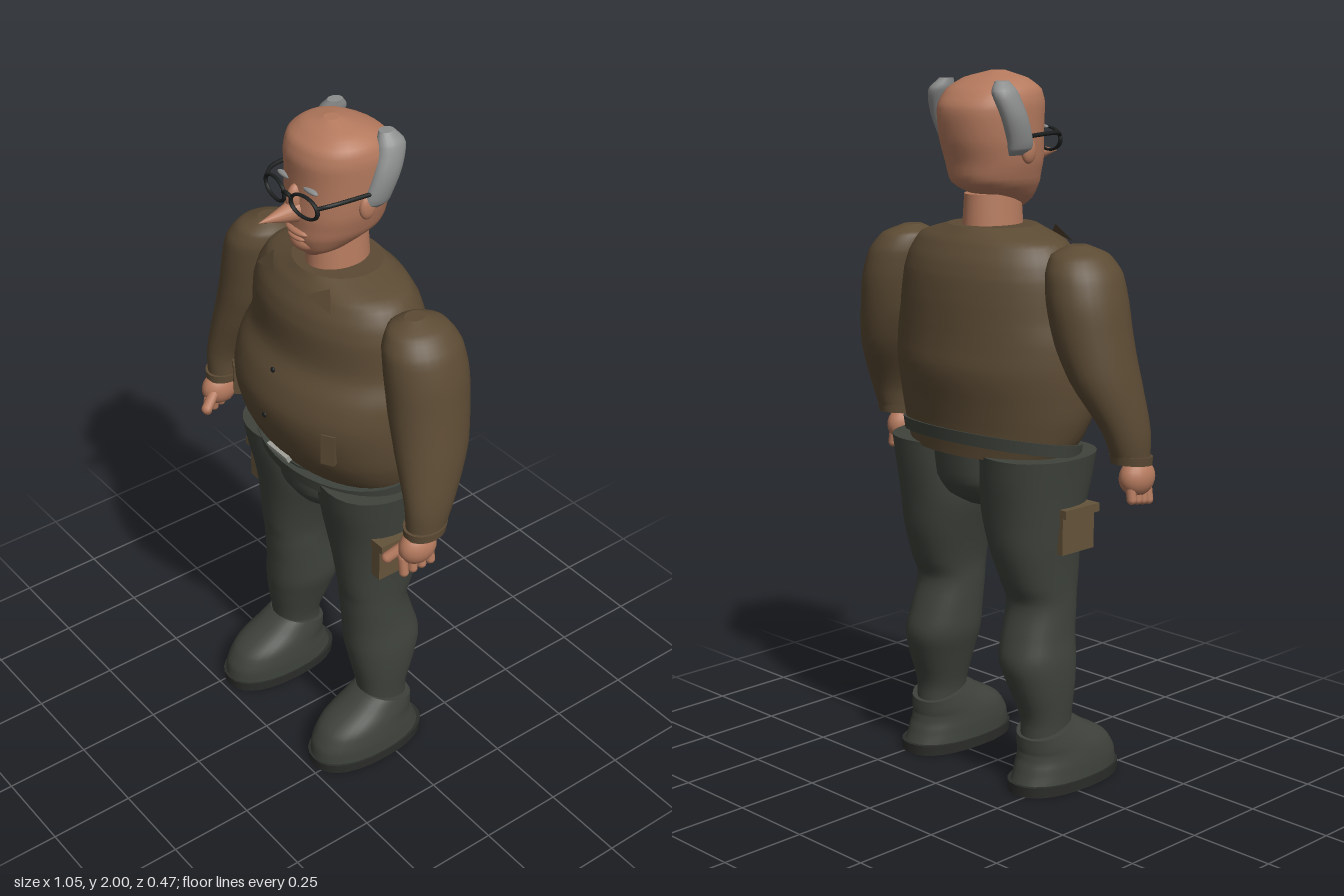
import * as THREE from 'three';

const mat = (name, color, side = THREE.FrontSide) => {
  const m = new THREE.MeshStandardMaterial({ color, side });
  m.name = name;
  return m;
};

// Smooth closed body through horizontal sections [x, y, z, rx, rz, tilt], listed bottom to top.
function loft(sections, { steps = 4, sides = 28, power = 1 } = {}) {
  const centre = new THREE.CatmullRomCurve3(sections.map(s => new THREE.Vector3(s[0], s[1], s[2])));
  const size = new THREE.CatmullRomCurve3(sections.map(s => new THREE.Vector3(s[3], s[4], s[5] || 0)));
  const rows = (sections.length - 1) * steps;
  const pos = [], idx = [];
  const bend = v => Math.sign(v) * Math.abs(v) ** power;
  const ring = t => {
    const c = centre.getPoint(t), r = size.getPoint(t);
    for (let j = 0; j < sides; j++) {
      const a = j / sides * Math.PI * 2;
      const dz = bend(Math.sin(a)) * r.y;
      pos.push(c.x + bend(Math.cos(a)) * r.x, c.y + dz * r.z, c.z + dz);
    }
    return c;
  };
  for (let i = 0; i <= rows; i++) ring(i / rows);
  for (let i = 0; i < rows; i++) for (let j = 0; j < sides; j++) {
    const a = i * sides + j, b = i * sides + (j + 1) % sides;
    idx.push(a, a + sides, b, b, a + sides, b + sides);
  }
  // flat end caps with their own corners
  for (const t of [0, 1]) {
    const start = pos.length / 3, c = ring(t), mid = start + sides;
    pos.push(c.x, c.y, c.z);
    for (let j = 0; j < sides; j++) {
      const a = start + j, b = start + (j + 1) % sides;
      if (t) idx.push(mid, b, a); else idx.push(mid, a, b);
    }
  }
  const g = new THREE.BufferGeometry();
  g.setAttribute('position', new THREE.Float32BufferAttribute(pos, 3));
  g.setIndex(idx);
  g.computeVertexNormals();
  return g;
}

export function createModel() {
  const root = new THREE.Group();
  root.name = 'man';
  const skin = mat('skin', 0xb57a5e), sweater = mat('sweater brown', 0x5c4b34);
  const trousers = mat('trouser green grey', 0x3f433c), sole = mat('sole dark grey', 0x2b2d2a);
  const hair = mat('hair grey', 0x8c8d8d), frame = mat('glasses black', 0x1b1e1e);
  const pocket = mat('pocket brown', 0x64533a), metal = mat('buckle silver', 0xa3a39c);
  const flap = mat('collar brown', 0x54452f, THREE.DoubleSide);

  const add = (name, geo, material, x = 0, y = 0, z = 0) => {
    const m = new THREE.Mesh(geo, material);
    m.name = name;
    m.position.set(x, y, z);
    root.add(m);
    return m;
  };
  const blob = (name, material, x, y, z, rx, ry, rz) =>
    add(name, new THREE.SphereGeometry(1, 20, 14), material, x, y, z).scale.set(rx, ry, rz);
  const box = (name, material, x, y, z, w, h, d) => add(name, new THREE.BoxGeometry(w, h, d), material, x, y, z);
  const rod = (name, material, r, ...pts) => {
    const curve = new THREE.CatmullRomCurve3(pts.map(p => new THREE.Vector3(...p)));
    add(name, new THREE.TubeGeometry(curve, 10, r, 8), material);
  };

  // torso with heavy belly
  add('sweater', loft([
    [0, 0.96, -0.035, 0.27, 0.165], [0, 1.0, -0.02, 0.295, 0.185], [0, 1.08, -0.003, 0.32, 0.212],
    [0, 1.2, 0, 0.33, 0.236], [0, 1.28, -0.008, 0.325, 0.222], [0, 1.35, -0.025, 0.305, 0.2],
    [0, 1.45, -0.023, 0.295, 0.192], [0, 1.5, -0.022, 0.28, 0.178], [0, 1.55, -0.022, 0.245, 0.15],
    [0, 1.585, -0.02, 0.13, 0.12]], { sides: 40 }), sweater);
  for (const y of [1.17, 1.305]) blob('button', frame, 0.005, y, y < 1.2 ? 0.234 : 0.203, 0.008, 0.008, 0.005);
  box('beltBuckle', metal, -0.005, 1.015, 0.176, 0.09, 0.022, 0.02).rotation.x = 0.4;

  // belt, higher at the back, and pelvis
  add('belt', loft([[0, 0.968, -0.025, 0.298, 0.188, -0.17], [0, 1.003, -0.025, 0.303, 0.193, -0.17]],
    { sides: 40 }), trousers);
  add('pelvis', loft([
    [0, 0.8, -0.02, 0.06, 0.08], [0, 0.83, -0.02, 0.11, 0.13], [0, 0.88, -0.02, 0.138, 0.162],
    [0, 0.98, -0.02, 0.145, 0.175]], { power: 0.85 }), trousers);

  // neck and head
  add('neck', loft([[0, 1.56, -0.02, 0.075, 0.095], [0, 1.67, -0.02, 0.065, 0.09]]), skin);
  add('head', loft([
    [0, 1.625, 0.055, 0.025, 0.03], [0, 1.65, 0.035, 0.065, 0.07], [0, 1.7, -0.008, 0.105, 0.13],
    [0, 1.76, -0.015, 0.125, 0.138], [0, 1.82, -0.025, 0.134, 0.144], [0, 1.9, -0.027, 0.138, 0.147],
    [0, 1.95, -0.016, 0.13, 0.122], [0, 1.98, -0.008, 0.095, 0.075], [0, 2.0, 0, 0.02, 0.02]],
    { sides: 32, power: 0.9 }), skin);
  const nose = add('nose', new THREE.ConeGeometry(0.034, 0.135, 16), skin, 0, 1.768, 0.168);
  nose.rotation.x = Math.PI / 2;
  nose.scale.z = 1.15;
  blob('noseBridge', skin, 0, 1.8, 0.115, 0.02, 0.045, 0.03);
  blob('chin', skin, 0, 1.672, 0.09, 0.045, 0.03, 0.035);
  blob('upperLip', skin, 0, 1.708, 0.112, 0.045, 0.012, 0.02);
  blob('lowerLip', skin, 0, 1.69, 0.112, 0.035, 0.01, 0.018);
  rod('glassesBridge', frame, 0.006, [-0.02, 1.82, 0.142], [0, 1.828, 0.147], [0.02, 1.82, 0.142]);

  for (const s of [1, -1]) {
    const side = s > 0 ? 'left' : 'right';
    const limb = (name, sections, material, opts) =>
      add(side + name, loft(sections.map(([x, ...r]) => [x * s, ...r]), opts), material);

    // side hair, ear, eyebrow and glasses
    limb('Hair', [
      [0.122, 1.78, -0.048, 0.012, 0.03], [0.13, 1.8, -0.045, 0.024, 0.042], [0.138, 1.88, -0.073, 0.028, 0.043],
      [0.124, 1.945, -0.095, 0.03, 0.042], [0.108, 1.978, -0.092, 0.018, 0.022]], hair, { sides: 18 });
    blob(side + 'Ear', skin, s * 0.132, 1.79, -0.015, 0.014, 0.035, 0.025);
    blob(side + 'Eyebrow', hair, s * 0.055, 1.845, 0.11, 0.03, 0.007, 0.01);
    const rim = add(side + 'GlassesRim', new THREE.TorusGeometry(0.05, 0.006, 8, 28), frame, s * 0.063, 1.811, 0.136);
    rim.scale.set(1, 0.62, 1);
    rim.rotation.y = s * 0.12;
    rod(side + 'GlassesTemple', frame, 0.006,
      [s * 0.108, 1.822, 0.132], [s * 0.13, 1.832, 0.1], [s * 0.142, 1.83, -0.03]);

    // collar flap
    const tri = new THREE.BufferGeometry();
    tri.setAttribute('position', new THREE.Float32BufferAttribute(
      [s * 0.165, 1.535, 0.128, s * 0.125, 1.582, 0.1, s * 0.07, 1.553, 0.142], 3));
    tri.computeVertexNormals();
    add(side + 'CollarFlap', tri, flap);

    // belly pocket
    box(side + 'BellyPocket', sweater, s * 0.215, 1.15, 0.172, 0.04, 0.095, 0.02).rotation.y = s * 0.545;

    // arm and cuff
    limb('Sleeve', [
      [0.468, 0.98, 0.04, 0.048, 0.056], [0.464, 1.06, 0.025, 0.056, 0.074], [0.42, 1.2, -0.012, 0.086, 0.107],
      [0.39, 1.3, -0.025, 0.099, 0.116], [0.37, 1.4, -0.03, 0.102, 0.12], [0.352, 1.48, -0.027, 0.096, 0.113],
      [0.335, 1.53, -0.025, 0.073, 0.085], [0.325, 1.555, -0.023, 0.025, 0.03]], sweater);
    limb('Cuff', [[0.468, 0.972, 0.042, 0.053, 0.061, -0.1], [0.468, 0.996, 0.04, 0.055, 0.064, -0.1]], sweater);

    // hand with curled fingers
    blob(side + 'Palm', skin, s * 0.468, 0.93, 0.065, 0.042, 0.052, 0.058);
    for (let i = 0; i < 4; i++) {
      const finger = add(side + 'Finger', new THREE.CapsuleGeometry(0.014, 0.045, 4, 10), skin,
        s * (0.478 - i * 0.004), 0.897 - i * 0.005, 0.03 + i * 0.027);
      finger.rotation.z = s * 0.15;
    }
    const thumb = add(side + 'Thumb', new THREE.CapsuleGeometry(0.016, 0.055, 4, 10), skin, s * 0.44, 0.915, 0.118);
    thumb.rotation.set(-0.9, 0, -s * 0.35);

    // leg
    limb('TrouserLeg', [
      [0.215, 0.14, -0.025, 0.062, 0.075], [0.215, 0.2, -0.022, 0.066, 0.075], [0.205, 0.3, -0.03, 0.085, 0.1],
      [0.193, 0.38, -0.035, 0.097, 0.115], [0.187, 0.45, -0.025, 0.095, 0.107], [0.184, 0.54, -0.01, 0.095, 0.097],
      [0.183, 0.6, -0.018, 0.098, 0.113], [0.175, 0.7, -0.028, 0.115, 0.133], [0.167, 0.8, -0.027, 0.135, 0.146],
      [0.172, 0.9, -0.022, 0.142, 0.163], [0.177, 0.968, -0.02, 0.147, 0.17]], trousers, { power: 0.9 });

    // cargo pocket with flap
    box(side + 'CargoPocket', pocket, s * 0.292, 0.755, 0.005, 0.035, 0.11, 0.125);
    box(side + 'CargoPocketFlap', pocket, s * 0.3, 0.818, 0.005, 0.052, 0.024, 0.135);

    // shoe
    limb('Sole', [[0.222, 0, 0.043, 0.102, 0.19], [0.222, 0.03, 0.043, 0.103, 0.192]], sole, { power: 0.85 });
    limb('Shoe', [
      [0.222, 0.028, 0.045, 0.099, 0.184], [0.221, 0.07, 0.05, 0.099, 0.172], [0.22, 0.11, 0.04, 0.095, 0.15, 0.05],
      [0.219, 0.145, 0, 0.088, 0.108, 0.2], [0.218, 0.178, -0.027, 0.08, 0.08, 0.3]], trousers, { power: 0.9 });
  }
  return root;
}
